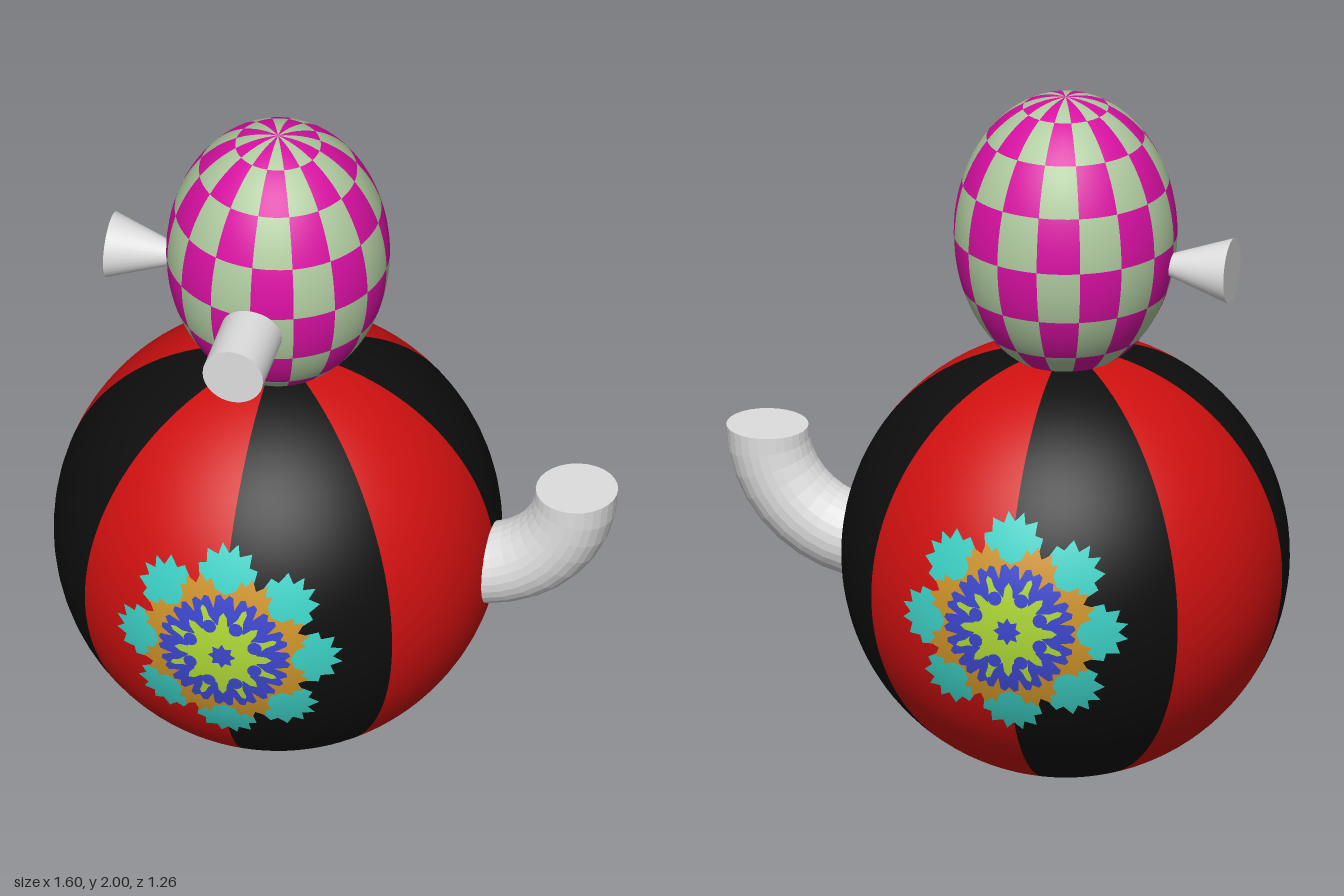
import * as THREE from 'three';
import { mergeGeometries } from 'three/addons/utils/BufferGeometryUtils.js';

const CX = -0.175;      // shared vertical axis of body and head
const BODY_R = 0.625;
const BODY_Y = 0.626;

function paint(name, color, extra = {}) {
  const m = new THREE.MeshStandardMaterial({ color, ...extra });
  m.name = name;
  return m;
}

// Sphere cut into sectors and rows; returns the two alternating halves
function checkerSphere(radius, sectors, rows, wSeg, hSeg) {
  const halves = [[], []];
  const dPhi = Math.PI * 2 / sectors, dTheta = Math.PI / rows;
  for (let j = 0; j < sectors; j++) {
    for (let i = 0; i < rows; i++) {
      halves[(i + j) % 2].push(new THREE.SphereGeometry(
        radius, wSeg, hSeg, Math.PI / 2 + j * dPhi, dPhi, i * dTheta, dTheta));
    }
  }
  return halves.map((list) => mergeGeometries(list));
}

// Thin patch with a repeated, mirrored outline, curved to lie on the body.
// half: [degrees, radius] pairs from the middle of a lobe to its edge
function decal(half, lobes, turn, lift, ox = 0, oy = 0) {
  const outline = [];
  for (let k = 0; k < lobes; k++) {
    const lobe = [...half.slice(1).reverse().map(([a, r]) => [-a, r]), ...half.slice(0, -1)];
    for (const [a, r] of lobe) {
      outline.push([THREE.MathUtils.degToRad(a + turn + k * 360 / lobes), r]);
    }
  }
  const R = BODY_R + lift, rings = 10, n = outline.length;
  const pos = [], nor = [], idx = [];
  for (let s = 0; s <= rings; s++) {
    for (const [a, r] of outline) {
      const x = ox + Math.cos(a) * r * s / rings;
      const y = oy + Math.sin(a) * r * s / rings;
      const z = Math.sqrt(R * R - x * x - y * y);
      pos.push(x, y, z);
      nor.push(x / R, y / R, z / R);
    }
  }
  for (let s = 0; s < rings; s++) {
    for (let i = 0; i < n; i++) {
      const j = (i + 1) % n, a = s * n, b = a + n;
      idx.push(a + i, b + i, b + j, a + i, b + j, a + j);
    }
  }
  const g = new THREE.BufferGeometry();
  g.setAttribute('position', new THREE.Float32BufferAttribute(pos, 3));
  g.setAttribute('normal', new THREE.Float32BufferAttribute(nor, 3));
  g.setIndex(idx);
  return g;
}

export function createModel() {
  const model = new THREE.Group();
  const red = paint('red', 0xd01010);
  const black = paint('black', 0x0e0e0e);
  const magenta = paint('magenta', 0xd810a2);
  const sage = paint('sage green', 0xb0cba0);
  const grey = paint('light grey', 0xdedede);
  const teal = paint('teal', 0x3ccfc4);
  const orange = paint('orange', 0xcc922a);
  const blue = paint('blue', 0x3c46cc);
  const lime = paint('lime', 0xacd636);

  function add(parent, name, geometry, material, x = 0, y = 0, z = 0) {
    const mesh = new THREE.Mesh(geometry, material);
    mesh.name = name;
    mesh.position.set(x, y, z);
    parent.add(mesh);
    return mesh;
  }

  // Striped ball body
  const [blackStripes, redStripes] = checkerSphere(BODY_R, 8, 1, 10, 64);
  add(model, 'bodyBlackStripes', blackStripes, black, CX, BODY_Y);
  add(model, 'bodyRedStripes', redStripes, red, CX, BODY_Y);

  // Chequered egg head
  const [sageChecks, magentaChecks] = checkerSphere(1, 16, 8, 4, 6);
  for (const [name, geo, mat] of [['headGreenChecks', sageChecks, sage], ['headMagentaChecks', magentaChecks, magenta]]) {
    add(model, name, geo, mat, CX, 1.592).scale.set(0.312, 0.408, 0.312);
  }

  // Straight snout
  const snout = add(model, 'snout', new THREE.CylinderGeometry(0.087, 0.087, 0.355, 32), grey, CX, 1.527, 0.328);
  snout.rotation.x = Math.PI / 2;

  // Flared horn on the right side of the head
  const horn = add(model, 'horn', new THREE.CylinderGeometry(0.093, 0.012, 0.235, 32), grey, -0.5375, 1.527);
  horn.rotation.z = Math.PI / 2;

  // Curved spout on the left side of the body, with a flat end
  const spout = new THREE.Group();
  spout.name = 'spout';
  spout.position.set(0.373, 0.925, 0);
  model.add(spout);
  const greyFlat = grey.clone();
  greyFlat.flatShading = true;
  const elbow = add(spout, 'spoutElbow', new THREE.TorusGeometry(0.312, 0.115, 28, 9, Math.PI / 2), greyFlat);
  elbow.rotation.z = -Math.PI / 2;
  const end = add(spout, 'spoutEnd', new THREE.CircleGeometry(0.115, 28), greyFlat, 0.312);
  end.rotation.x = -Math.PI / 2;

  // Layered flower, on the front and the back of the body
  const leaf = [[0, 0.30], [4, 0.325], [6, 0.295], [12, 0.31], [13, 0.275], [18, 0.275], [19, 0.24], [22.5, 0.2]];
  const petal = [[0, 0.225], [5, 0.25], [8, 0.225], [12, 0.235], [14, 0.205], [22.5, 0.19]];
  const frill = [[0, 0.175], [4, 0.19], [8, 0.185], [11.25, 0.15]];
  const star = [[0, 0.14], [5, 0.125], [8, 0.1], [15, 0.095], [22.5, 0.08]];
  const dot = [[0, 0.02], [22.5, 0.02]];
  const core = [[0, 0.04], [22.5, 0.026]];
  const rays = [[0, 0.165], [3, 0.155], [4, 0.13], [22.5, 0.08]];
  const ring = (radius, turn, lift) => mergeGeometries(Array.from({ length: 8 }, (_, k) => {
    const a = (k + turn) * Math.PI / 4;
    return decal(dot, 8, 0, lift, Math.cos(a) * radius, Math.sin(a) * radius);
  }));
  for (const side of ['front', 'back']) {
    const flower = new THREE.Group();
    flower.name = side + 'Flower';
    flower.position.set(CX, BODY_Y, 0);
    flower.rotation.y = side === 'front' ? 0 : Math.PI;
    const tilt = new THREE.Group();
    tilt.rotation.x = -0.02;
    flower.add(tilt);
    add(tilt, 'outerLeaves', decal(leaf, 8, 0, 0.001), teal);
    add(tilt, 'orangePetals', decal(petal, 8, 22.5, 0.002), orange);
    add(tilt, 'blueFrill', decal(frill, 16, 0, 0.003), blue);
    add(tilt, 'limeRays', decal(rays, 8, 22.5, 0.004), lime);
    add(tilt, 'limeStar', decal(star, 8, 0, 0.005), lime);
    add(tilt, 'blueDots', ring(0.1, 0.5, 0.006), blue);
    add(tilt, 'blueCore', decal(core, 8, 0, 0.006), blue);
    model.add(flower);
  }
  return model;
}
